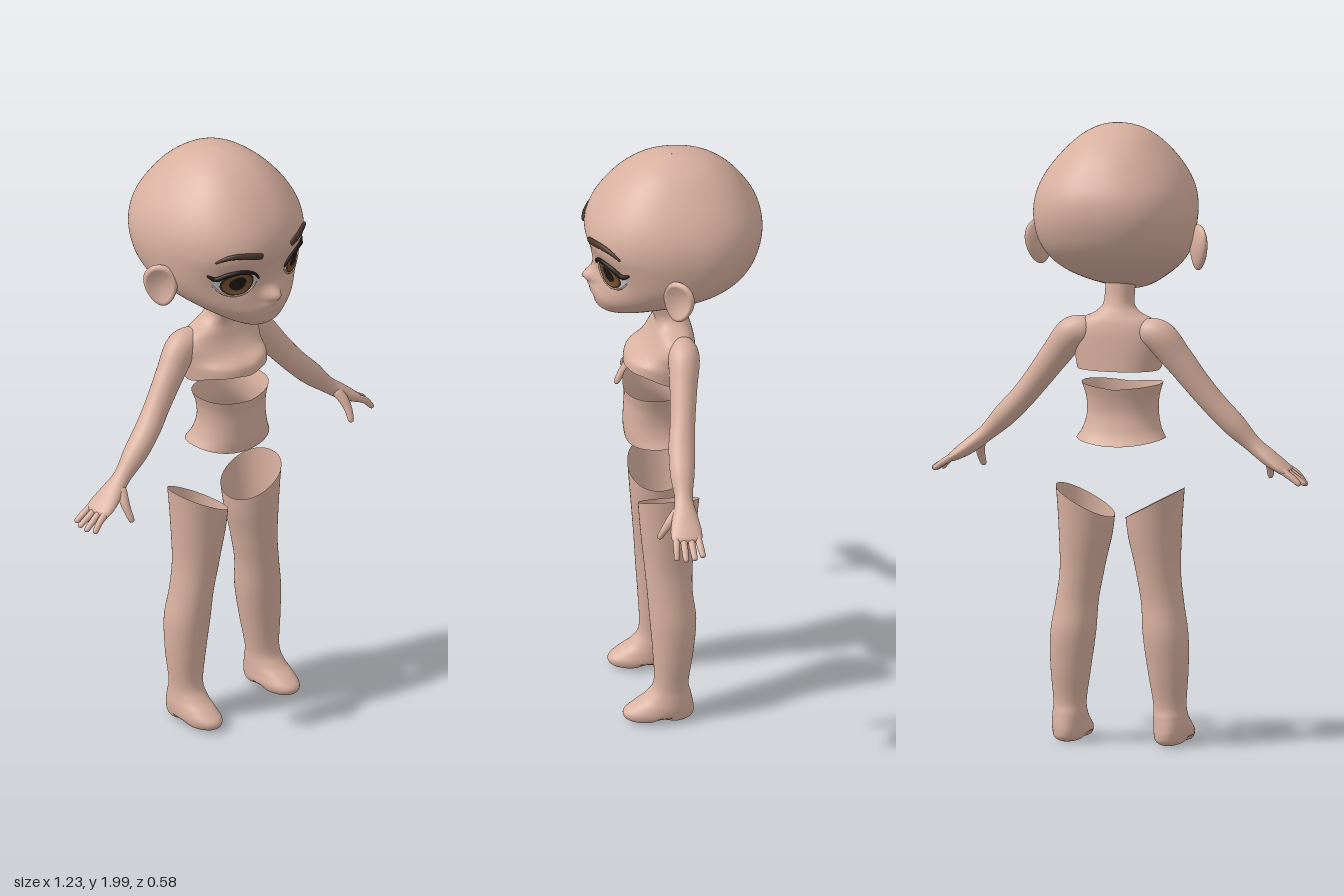
import * as THREE from 'three';

const V = (x, y, z) => new THREE.Vector3(x, y, z);
const smooth = (a, b, x) => THREE.MathUtils.smoothstep(x, a, b);
const material = (color) => new THREE.MeshStandardMaterial({ color, roughness: 0.8, side: THREE.DoubleSide });
const skin = material(0xd8b09f), white = material(0xe6e6e8), brown = material(0x74522f);
const rimBrown = material(0x3c2816), dark = material(0x1e1714), browColor = material(0x4a372e);

// Smooth closed-ring surface: fn(t, angle) gives each point
function surface(fn, steps, n) {
  const pos = [], index = [];
  for (let i = 0; i <= steps; i++)
    for (let j = 0; j < n; j++) pos.push(...fn(i / steps, (j / n) * Math.PI * 2).toArray());
  for (let i = 0; i < steps; i++)
    for (let j = 0; j < n; j++) {
      const k = (j + 1) % n, a = i * n + j, b = i * n + k;
      index.push(a, b, b + n, a, b + n, a + n);
    }
  const g = new THREE.BufferGeometry();
  g.setAttribute('position', new THREE.Float32BufferAttribute(pos, 3));
  g.setIndex(index);
  g.computeVertexNormals();
  return g;
}

// Catmull-Rom blend of every column of a table
function rowAt(rows, t) {
  const s = t * (rows.length - 1), i = Math.min(Math.floor(s), rows.length - 2), f = s - i;
  const [a, b, c, d] = [-1, 0, 1, 2].map((o) => rows[THREE.MathUtils.clamp(i + o, 0, rows.length - 1)]);
  return b.map((v, k) => v + 0.5 * f * (c[k] - a[k] + f * (2 * a[k] - 5 * v + 4 * c[k] - d[k] + f * (3 * (v - c[k]) + d[k] - a[k]))));
}

// Body of stacked rings: rows are [y, xMin, xMax, zFront, zBack, zWidest], bottom to top
const pw = (v, p) => Math.sign(v) * Math.abs(v) ** (2 / p);
function stack(rows, steps, n, p, warp = (v) => v) {
  return surface((t, a) => {
    const [y, x0, x1, zf, zb, zc] = rowAt(rows, t);
    const c = Math.cos(a);
    return warp(V((x0 + x1) / 2 + ((x1 - x0) / 2) * pw(Math.sin(a), p), y, zc + (c > 0 ? zf - zc : zc - zb) * pw(c, p)));
  }, steps, n);
}
const sym = ([y, w, ...rest]) => [y, -w, w, ...rest];

// Limb along a path: points are [x, y, z, radius along u, other radius], both ends rounded off
function limb(points, u0, steps, n, tip = 0.1) {
  return surface((t, a) => {
    const [x, y, z, ru, rv] = rowAt(points, t);
    const A = rowAt(points, Math.max(0, t - 0.01)), B = rowAt(points, Math.min(1, t + 0.01));
    const T = V(B[0] - A[0], B[1] - A[1], B[2] - A[2]).normalize();
    const u = u0.clone().addScaledVector(T, -u0.dot(T)).normalize(), v = T.clone().cross(u);
    const e = Math.max(0, 1 - Math.min(t, 1 - t) / tip), k = Math.sqrt(Math.max(1e-5, 1 - e * e));
    return V(x, y, z).addScaledVector(u, Math.cos(a) * ru * k).addScaledVector(v, Math.sin(a) * rv * k);
  }, steps, n);
}

// Head profile
const headRows = [
  [1.447, 0.002, 0.165, 0.155, 0.16], [1.453, 0.045, 0.21, 0.1, 0.16], [1.47, 0.085, 0.24, 0.045, 0.13],
  [1.495, 0.125, 0.252, -0.05, 0.1], [1.53, 0.172, 0.257, -0.15, 0.06], [1.57, 0.212, 0.25, -0.21, 0.02],
  [1.62, 0.24, 0.248, -0.252, -0.01], [1.68, 0.253, 0.263, -0.277, -0.03], [1.74, 0.255, 0.278, -0.286, -0.03],
  [1.8, 0.242, 0.265, -0.276, -0.02], [1.86, 0.21, 0.23, -0.243, -0.01], [1.92, 0.16, 0.178, -0.195, 0],
  [1.965, 0.108, 0.118, -0.135, 0], [1.99, 0.055, 0.058, -0.07, 0], [2, 0.001, 0.001, -0.001, 0],
].map(sym);
const HEAD_P = 2.25;

// Nose, lips and eye sockets as [x, y, width, height, depth]
const features = [
  [0, 1.575, 0.02, 0.017, 0.036], [0, 1.61, 0.018, 0.03, 0.008], [0, 1.543, 0.026, 0.007, 0.008],
  [0, 1.523, 0.022, 0.008, 0.007], [0.12, 1.645, 0.05, 0.036, -0.014], [-0.12, 1.645, 0.05, 0.036, -0.014],
];
const relief = (x, y) => features.reduce((s, [cx, cy, w, h, d]) =>
  s + d * Math.exp(-0.5 * (((x - cx) / w) ** 2 + ((y - cy) / h) ** 2)), 0);

// Height of the face surface at a front position
function faceZ(x, y) {
  let lo = 0, hi = 1;
  for (let i = 0; i < 30; i++) {
    const m = (lo + hi) / 2;
    if (rowAt(headRows, m)[0] < y) lo = m; else hi = m;
  }
  const [, , w, zf, , zc] = rowAt(headRows, lo);
  return zc + (zf - zc) * Math.max(0, 1 - Math.abs(x / w) ** HEAD_P) ** (1 / HEAD_P) + relief(x, y);
}

// Oval patch lying on the face
const facePatch = (cx, cy, rx, ry, lift, p = 2) => surface((t, a) => {
  const r = Math.max(0.001, 1 - t), x = cx + r * rx * Math.cos(a), y = cy + r * ry * pw(Math.sin(a), p);
  return V(x, y, faceZ(x, y) + lift);
}, 10, 40);

// Strip on the face: points are [x, y, half height, depth]
const faceStrip = (pts, lift) =>
  limb(pts.map(([x, y, h, d]) => [x, y, faceZ(x, y) + lift, h, d]), V(0, 1, 0), 28, 10, 0.06);

export function createModel() {
  const root = new THREE.Group();
  root.name = 'doll';
  const add = (name, geometry, mat = skin) => {
    const m = new THREE.Mesh(geometry, mat);
    m.name = name;
    root.add(m);
  };
  const addPair = (name, geometry, mat = skin) => {
    const g = geometry.clone().applyMatrix4(new THREE.Matrix4().makeScale(-1, 1, 1)), ix = g.index.array;
    for (let i = 0; i < ix.length; i += 3) [ix[i], ix[i + 1]] = [ix[i + 1], ix[i]];
    add('left' + name, geometry, mat);
    add('right' + name, g, mat);
  };

  add('head', stack(headRows, 110, 144, HEAD_P, (v) => {
    if (v.z > 0) v.z += relief(v.x, v.y) * smooth(0, 0.12, v.z);
    return v;
  }));

  // Eyes, lashes and brows
  addPair('EyeWhite', facePatch(0.124, 1.644, 0.066, 0.045, 0.003, 1.8), white);
  addPair('IrisRim', facePatch(0.12, 1.643, 0.049, 0.044, 0.0045), rimBrown);
  addPair('Iris', facePatch(0.12, 1.642, 0.043, 0.038, 0.006), brown);
  addPair('Pupil', facePatch(0.12, 1.644, 0.025, 0.026, 0.0075), dark);
  addPair('UpperLash', faceStrip([[0.054, 1.648, 0.003, 0.003], [0.075, 1.675, 0.005, 0.005], [0.115, 1.691, 0.007, 0.007],
    [0.155, 1.684, 0.008, 0.008], [0.182, 1.667, 0.008, 0.008], [0.203, 1.681, 0.003, 0.004]], 0.005), dark);
  addPair('LowerLid', faceStrip([[0.058, 1.638, 0.002, 0.003], [0.085, 1.608, 0.003, 0.004], [0.122, 1.598, 0.003, 0.004],
    [0.16, 1.609, 0.003, 0.004], [0.188, 1.645, 0.003, 0.004]], 0.003));
  addPair('Eyebrow', faceStrip([[0.06, 1.742, 0.01, 0.006], [0.095, 1.75, 0.012, 0.007], [0.14, 1.756, 0.01, 0.007],
    [0.17, 1.749, 0.007, 0.006], [0.192, 1.732, 0.003, 0.004]], 0.003), browColor);

  // Dished ears turned forward and outward
  const ear = surface((t, a) => {
    const h = -Math.cos(t * Math.PI), r = Math.max(0.001, Math.sin(t * Math.PI)), y = r * Math.sin(a);
    const dish = h > 0 ? 0.024 * Math.max(0, 1 - r * r * 1.4) : 0;
    return V(0.054 * r * Math.cos(a) * (1 + 0.22 * y), 0.074 * y, 0.02 * h - dish);
  }, 28, 40);
  ear.rotateZ(-0.12).rotateY(0.9).translate(0.262, 1.607, 0.016);
  addPair('Ear', ear);

  // Neck and chest shell, open below
  add('chest', stack([
    [1.21, 0.135, 0.155, -0.078, 0.02], [1.25, 0.14, 0.145, -0.075, 0.01], [1.29, 0.145, 0.108, -0.072, 0],
    [1.33, 0.148, 0.078, -0.068, 0], [1.365, 0.125, 0.062, -0.06, 0], [1.39, 0.075, 0.055, -0.05, 0],
    [1.415, 0.05, 0.062, -0.038, 0.01], [1.45, 0.046, 0.08, -0.028, 0.025], [1.5, 0.046, 0.09, -0.02, 0.035],
  ].map(sym), 40, 64, 2.3, (v) => {
    v.y += (1 - smooth(1.21, 1.32, v.y)) * smooth(0, 0.12, v.z) * (0.034 - 0.008 * Math.exp(-((v.x / 0.03) ** 2)));
    return v;
  }));

  // Waist shell, open at both ends
  add('waist', stack([
    [0.975, 0.142, 0.152, -0.068, 0.04], [1.01, 0.125, 0.156, -0.048, 0.05], [1.06, 0.114, 0.154, -0.034, 0.06],
    [1.11, 0.116, 0.152, -0.036, 0.06], [1.155, 0.13, 0.156, -0.046, 0.055],
  ].map(sym), 24, 64, 2.3, (v) => {
    const side = Math.abs(v.x) / 0.13;
    v.y += smooth(1.06, 1.155, v.y) * 0.014 * (side - 0.6) + (1 - smooth(0.975, 1.06, v.y)) * (0.015 * side * side - 0.008);
    return v;
  }));

  // Arms running into the palms
  const Z = V(0, 0, 1);
  addPair('Arm', limb([
    [0.075, 1.33, -0.015, 0.04, 0.04], [0.14, 1.322, -0.018, 0.05, 0.053], [0.2, 1.252, -0.008, 0.044, 0.048],
    [0.265, 1.168, 0.004, 0.04, 0.042], [0.32, 1.102, 0.015, 0.042, 0.039], [0.38, 1.04, 0.022, 0.039, 0.037],
    [0.438, 0.983, 0.026, 0.029, 0.027], [0.49, 0.941, 0.029, 0.042, 0.025], [0.53, 0.913, 0.031, 0.05, 0.02],
    [0.562, 0.893, 0.032, 0.046, 0.013],
  ], Z, 70, 36, 0.05));
  const reach = [[0.606, 0.862], [0.617, 0.86], [0.614, 0.854], [0.6, 0.853]];
  reach.forEach(([x, y], i) => addPair('Finger' + (i + 1), limb([
    [0.53, 0.912, -0.002 + 0.022 * i, 0.011, 0.012], [0.572, 0.887, -0.007 + 0.025 * i, 0.011, 0.011],
    [x, y, -0.013 + 0.028 * i, 0.009, 0.008],
  ], Z, 18, 14, 0.14)));
  addPair('Thumb', limb([
    [0.462, 0.962, 0.045, 0.016, 0.018], [0.474, 0.93, 0.072, 0.015, 0.016], [0.477, 0.9, 0.092, 0.012, 0.013],
    [0.472, 0.862, 0.112, 0.009, 0.009],
  ], Z, 20, 16, 0.14));

  // Legs with feet, cut on a slant and open at the top
  addPair('Leg', stack([
    [0.004, 0.166, 0.168, 0.066, 0.064, 0.065], [0.007, 0.135, 0.198, 0.14, -0.015, 0.065],
    [0.018, 0.114, 0.22, 0.174, -0.04, 0.07], [0.04, 0.108, 0.226, 0.18, -0.045, 0.07],
    [0.065, 0.11, 0.225, 0.15, -0.042, 0.05], [0.095, 0.112, 0.22, 0.108, -0.036, 0.03],
    [0.14, 0.112, 0.217, 0.082, -0.029, 0.025], [0.25, 0.095, 0.225, 0.085, -0.045, 0.02],
    [0.36, 0.08, 0.224, 0.093, -0.055, 0.02], [0.46, 0.073, 0.208, 0.1, -0.045, 0.025],
    [0.56, 0.055, 0.196, 0.108, -0.048, 0.03], [0.68, 0.033, 0.2, 0.118, -0.06, 0.03],
    [0.78, 0.022, 0.208, 0.125, -0.07, 0.03],
  ], 72, 48, 2.1, (v) => {
    v.y += smooth(0.55, 0.78, v.y) * (v.x - 0.115) * 0.53;
    // raised arch under the foot
    if (v.y < 0.03) v.y += 0.012 * Math.exp(-(((v.z - 0.06) / 0.03) ** 2));
    return v;
  }));

  return root;
}
